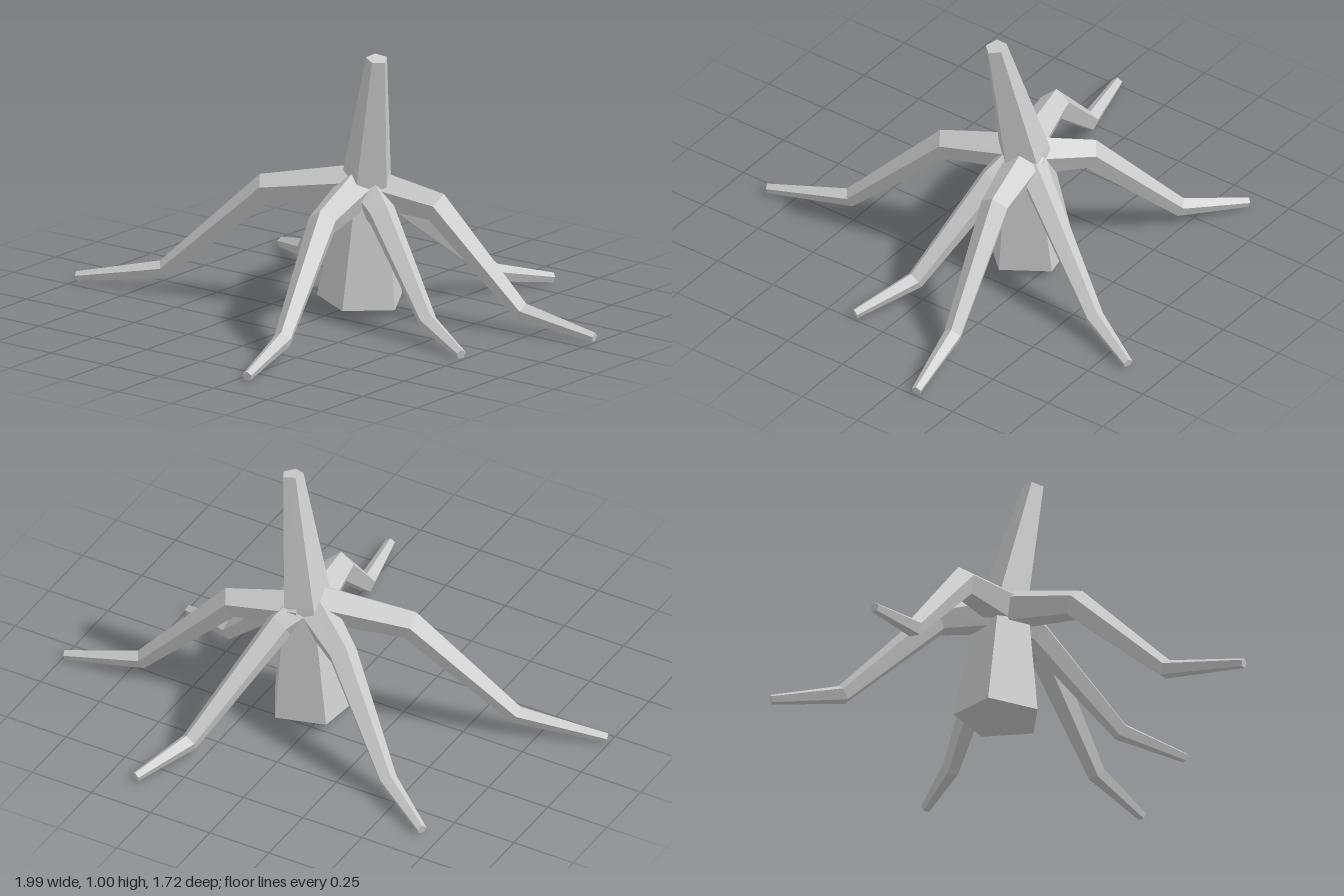
import * as THREE from 'three';

const SIDES = 5;
const V = (a) => new THREE.Vector3(...a);

// Tapered five-sided limb through the given points, with mitred rings and end caps
function limb(name, points, radii, ref, phase, material) {
  const p = points.map(V);
  const last = p.length - 1;
  const rings = p.map((c, i) => {
    const into = p[Math.max(i, 1)].clone().sub(p[Math.max(i, 1) - 1]).normalize();
    const out = p[Math.min(i + 1, last)].clone().sub(p[Math.min(i, last - 1)]).normalize();
    const t = into.clone().add(out).normalize();
    const side = t.clone().cross(ref).normalize();
    const up = side.clone().cross(t).normalize();
    const stretch = 1 / t.dot(into);
    return Array.from({ length: SIDES }, (_, j) => {
      const a = phase + (j * Math.PI * 2) / SIDES;
      return c.clone()
        .addScaledVector(up, Math.cos(a) * radii[i] * stretch)
        .addScaledVector(side, Math.sin(a) * radii[i]);
    });
  });

  const verts = [];
  const tri = (...corners) => corners.forEach((v) => verts.push(v.x, v.y, v.z));
  for (let j = 0; j < SIDES; j++) {
    const k = (j + 1) % SIDES;
    for (let i = 0; i < last; i++) {
      tri(rings[i][j], rings[i][k], rings[i + 1][k]);
      tri(rings[i][j], rings[i + 1][k], rings[i + 1][j]);
    }
    tri(p[0], rings[0][k], rings[0][j]);
    tri(p[last], rings[last][j], rings[last][k]);
  }
  const geometry = new THREE.BufferGeometry();
  geometry.setAttribute('position', new THREE.Float32BufferAttribute(verts, 3));
  geometry.computeVertexNormals();
  const mesh = new THREE.Mesh(geometry, material);
  mesh.name = name;
  return mesh;
}

export function createModel() {
  const group = new THREE.Group();
  group.name = 'rootedStump';
  const material = new THREE.MeshStandardMaterial({ color: 0xcccccc, flatShading: true });

  // Leaning trunk, bent where the roots spread out
  group.add(limb('trunk',
    [[0.05, 0.043, -0.155], [0.08, 0.5, -0.15], [0.17, 0.997, -0.09]],
    [0.167, 0.097, 0.041], new THREE.Vector3(0, 0, 1), THREE.MathUtils.degToRad(12), material));

  // Roots: start at the trunk, knee, ankle, tip
  const roots = {
    rightRoot: [[0.04, 0.485, -0.13], [-0.29, 0.435, -0.02], [-0.67, 0.085, 0.1], [-0.992, 0.026, 0.207]],
    leftRoot: [[0.08, 0.47, -0.17], [0.35, 0.432, -0.22], [0.695, 0.08, -0.28], [0.992, 0.022, -0.33]],
    frontRoot: [[0.06, 0.47, -0.1], [0.12, 0.42, 0.17], [0.215, 0.075, 0.535], [0.295, 0.024, 0.855]],
    frontLeftRoot: [[0.08, 0.47, -0.14], [0.19, 0.405, -0.09], [0.5, 0.08, 0.035], [0.735, 0.02, 0.137]],
    backLeftRoot: [[0.08, 0.47, -0.16], [0.13, 0.425, -0.25], [0.295, 0.075, -0.63], [0.395, 0.022, -0.855]],
    backRightRoot: [[0.04, 0.46, -0.15], [-0.15, 0.41, -0.28], [-0.45, 0.072, -0.47], [-0.678, 0.022, -0.617]],
  };
  const up = new THREE.Vector3(0, 1, 0);
  for (const [name, points] of Object.entries(roots)) {
    group.add(limb(name, points, [0.075, 0.056, 0.035, 0.019], up, 0, material));
  }
  return group;
}
